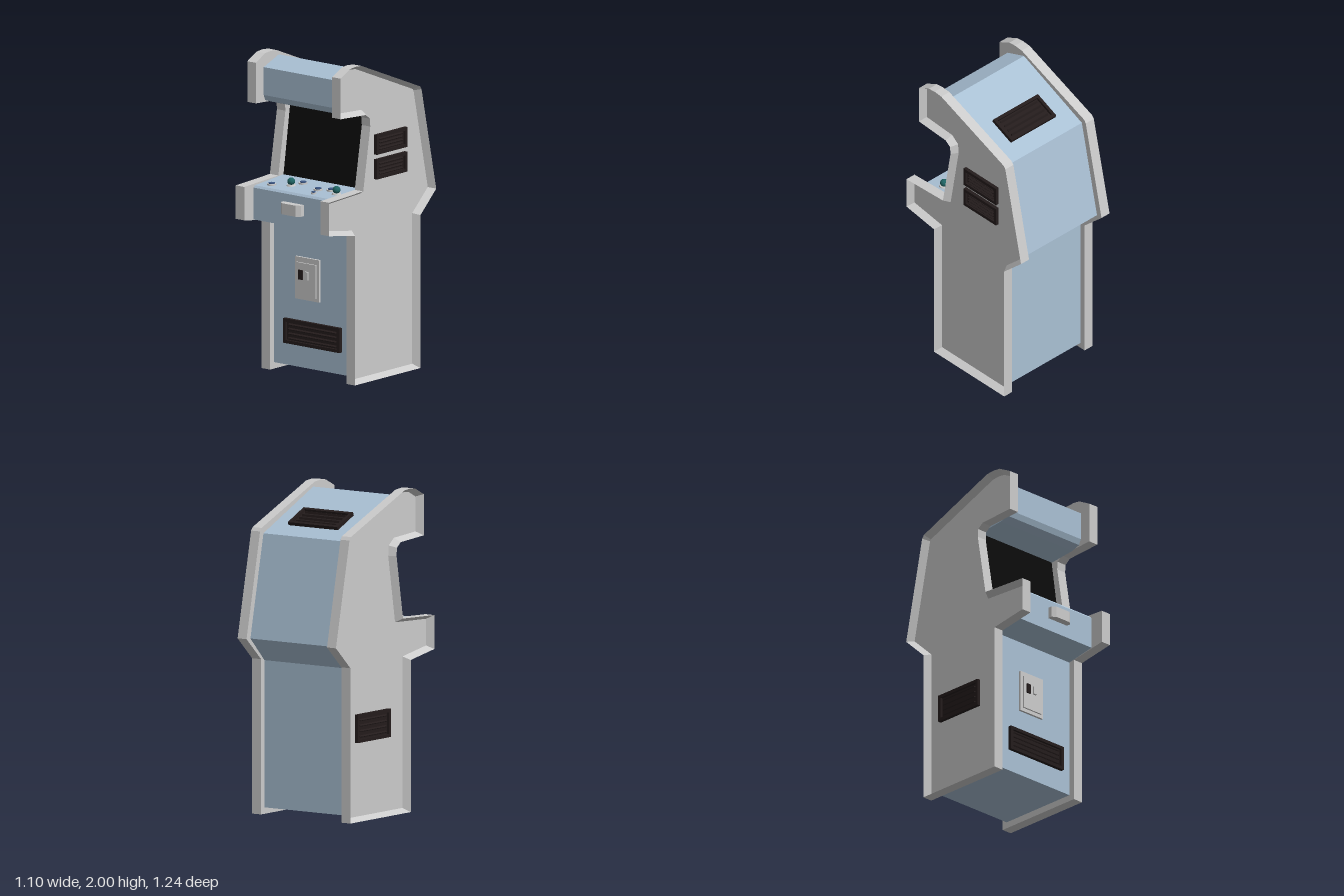
import * as THREE from 'three';

const material = (color) => new THREE.MeshStandardMaterial({ color });
const grey = material(0xcccccc);
const blue = material(0xa9c0d4);
const black = material(0x0b0b0b);
const dark = material(0x241c1c);
const navy = material(0x3b5683);
const teal = material(0x1f6464);

const HALF = 0.373;   // outer half width
const INNER = 0.305;  // inner face of the side panels
const RECESS = 0.045; // depth of the dished outer face
const FACE = HALF - RECESS;

function add(parent, name, geometry, mat, x = 0, y = 0, z = 0) {
  const mesh = new THREE.Mesh(geometry, mat);
  mesh.name = name;
  mesh.position.set(x, y, z);
  parent.add(mesh);
  return mesh;
}

// Extrude a (z, y) profile across the width, centred on x = 0
function across(points, width) {
  const shape = new THREE.Shape(points.map(([z, y]) => new THREE.Vector2(z, y)));
  return new THREE.ExtrudeGeometry(shape, { depth: width, bevelEnabled: false })
    .rotateY(-Math.PI / 2).translate(width / 2, 0, 0);
}

// Move every edge of a counter-clockwise outline inwards by d
function inset(outline, d) {
  return outline.map((p, i) => {
    const n = outline.length;
    const e1 = p.clone().sub(outline[(i + n - 1) % n]).normalize();
    const e2 = outline[(i + 1) % n].clone().sub(p).normalize();
    const n1 = new THREE.Vector2(-e1.y, e1.x);
    const n2 = new THREE.Vector2(-e2.y, e2.x);
    return n1.clone().add(n2).multiplyScalar(d / (1 + n1.dot(n2))).add(p);
  });
}

// Side panel: flat inside, sharp rim, dished outside
function panelGeometry(side) {
  const outline = [
    [0.265, 0], [0.265, 0.94], [0.51, 0.98], [0.51, 1.19], [0.185, 1.205],
    [0.118, 1.6], [0.122, 1.65], [0.16, 1.68], [0.4, 1.695], [0.4, 1.95],
    [0.31, 1.995], [0.26, 2], [0.2, 1.995], [-0.355, 1.77], [-0.37, 1.75],
    [-0.51, 1.1], [-0.36, 0.96], [-0.36, 0],
  ].map(([z, y]) => new THREE.Vector2(z, y));
  const small = inset(outline, 0.025);
  const rings = [[outline, INNER], [outline, HALF], [small, FACE]]
    .map(([pts, x]) => pts.map((p) => [side * x, p.y, p.x]));
  const out = [];
  const tri = (a, b, c) => out.push(...a, ...(side > 0 ? b : c), ...(side > 0 ? c : b));
  const n = outline.length;
  for (let r = 0; r < 2; r++) {
    for (let i = 0; i < n; i++) {
      const j = (i + 1) % n;
      tri(rings[r][i], rings[r + 1][i], rings[r + 1][j]);
      tri(rings[r][i], rings[r + 1][j], rings[r][j]);
    }
  }
  for (const [a, b, c] of THREE.ShapeUtils.triangulateShape(outline, [])) {
    tri(rings[0][a], rings[0][b], rings[0][c]);
  }
  for (const [a, b, c] of THREE.ShapeUtils.triangulateShape(small, [])) {
    tri(rings[2][a], rings[2][c], rings[2][b]);
  }
  const g = new THREE.BufferGeometry();
  g.setAttribute('position', new THREE.Float32BufferAttribute(out, 3));
  g.computeVertexNormals();
  return g;
}

// Framed vent with slats, facing +z
function vent(parent, name, w, h, position, rotation = [0, 0, 0]) {
  const group = new THREE.Group();
  group.name = name;
  const f = 0.02;
  add(group, 'ventBack', new THREE.BoxGeometry(w, h, 0.008), dark);
  for (const s of [-1, 1]) {
    add(group, 'ventFrame', new THREE.BoxGeometry(w, f, 0.024), dark, 0, s * (h - f) / 2, 0.008);
    add(group, 'ventFrame', new THREE.BoxGeometry(f, h - 2 * f, 0.024), dark, s * (w - f) / 2, 0, 0.008);
  }
  const count = 4;
  for (let i = 0; i < count; i++) {
    const y = ((i + 0.5) / count - 0.5) * (h - 2 * f);
    const slat = add(group, 'ventSlat', new THREE.BoxGeometry(w - 2 * f - 0.03, 0.006, 0.018), dark, 0, y, 0.007);
    slat.rotation.x = 0.5;
  }
  group.position.set(...position);
  group.rotation.set(...rotation);
  parent.add(group);
}

// Height of the sloping control deck
const deckY = (z) => 1.205 - (z - 0.13) * 0.08;

function button(parent, x, z, r) {
  const y = deckY(z);
  add(parent, 'buttonRing', new THREE.CylinderGeometry(r, r, 0.01, 20), grey, x, y + 0.003, z);
  add(parent, 'buttonCap', new THREE.CylinderGeometry(r * 0.72, r * 0.72, 0.02, 20), navy, x, y + 0.004, z);
}

function joystick(parent, x, z) {
  const y = deckY(z);
  add(parent, 'joystickCollar', new THREE.CylinderGeometry(0.026, 0.03, 0.01, 20), grey, x, y + 0.003, z);
  add(parent, 'joystickStick', new THREE.CylinderGeometry(0.007, 0.007, 0.04, 10), grey, x, y + 0.015, z);
  add(parent, 'joystickBall', new THREE.SphereGeometry(0.024, 20, 14), teal, x, 1.218, z);
}

export function createModel() {
  const model = new THREE.Group();
  model.name = 'arcadeCabinet';
  const cabinet = new THREE.Group();
  cabinet.name = 'cabinet';
  cabinet.rotation.y = -THREE.MathUtils.degToRad(24.3);
  model.add(cabinet);

  // Shell
  add(cabinet, 'leftSidePanel', panelGeometry(1), grey);
  add(cabinet, 'rightSidePanel', panelGeometry(-1), grey);
  add(cabinet, 'body', across([
    [0.225, 0.04], [0.225, 0.935], [0.42, 0.97], [0.42, 1.17], [0.408, deckY(0.408)],
    [0.13, 1.205], [0.06, 1.66], [0.25, 1.68], [0.31, 1.7], [0.325, 1.735], [0.325, 1.91],
    [0.18, 1.965], [-0.335, 1.735], [-0.47, 1.1], [-0.325, 0.95], [-0.325, 0.04],
  ], INNER * 2), blue);
  add(cabinet, 'screen', across([
    [0.12, 1.19], [0.138, 1.2], [0.07, 1.665], [0.05, 1.665],
  ], INNER * 2 - 0.002), black);

  // Controls
  joystick(cabinet, -0.106, 0.3);
  joystick(cabinet, 0.256, 0.3);
  for (const [x, z, r] of [
    [-0.222, 0.347, 0.028], [-0.07, 0.23, 0.028], [0.1, 0.29, 0.028],
    [0.18, 0.26, 0.028], [0.127, 0.365, 0.017],
  ]) button(cabinet, x, z, r);

  // Handle on the front of the deck, with chamfered corners
  const handle = new THREE.Shape([
    [-0.08, 0], [0.08, 0], [0.08, 0.03], [0.055, 0.05], [-0.055, 0.05], [-0.08, 0.03],
  ].map(([x, z]) => new THREE.Vector2(x, z)));
  add(cabinet, 'frontHandle', new THREE.ExtrudeGeometry(handle, { depth: 0.07, bevelEnabled: false })
    .rotateX(Math.PI / 2), grey, 0.015, 1.12, 0.418);

  // Coin door
  const door = new THREE.Group();
  door.name = 'coinDoor';
  door.position.set(-0.03, 0.603, 0.225);
  cabinet.add(door);
  add(door, 'doorFrame', new THREE.BoxGeometry(0.19, 0.265, 0.03), grey);
  add(door, 'doorPlate', new THREE.BoxGeometry(0.155, 0.21, 0.014), grey, 0, -0.005, 0.018);
  add(door, 'coinSlot', new THREE.BoxGeometry(0.032, 0.06, 0.012), dark, -0.04, 0.025, 0.027);
  add(door, 'coinReturn', new THREE.BoxGeometry(0.024, 0.05, 0.016), grey, 0.01, 0.025, 0.03);

  // Vents
  vent(cabinet, 'frontVent', 0.45, 0.155, [0.01, 0.257, 0.228]);
  vent(cabinet, 'roofVent', 0.375, 0.18, [0.005, 1.821, -0.147], [-(Math.PI / 2 + 0.42), 0, 0]);
  for (const y of [1.465, 1.31]) {
    vent(cabinet, 'leftSideVent', 0.29, 0.125, [FACE + 0.002, y, -0.118], [0, Math.PI / 2, 0]);
  }
  vent(cabinet, 'rightSideVent', 0.345, 0.175, [-FACE - 0.002, 0.57, -0.08], [0, -Math.PI / 2, 0]);

  return model;
}
